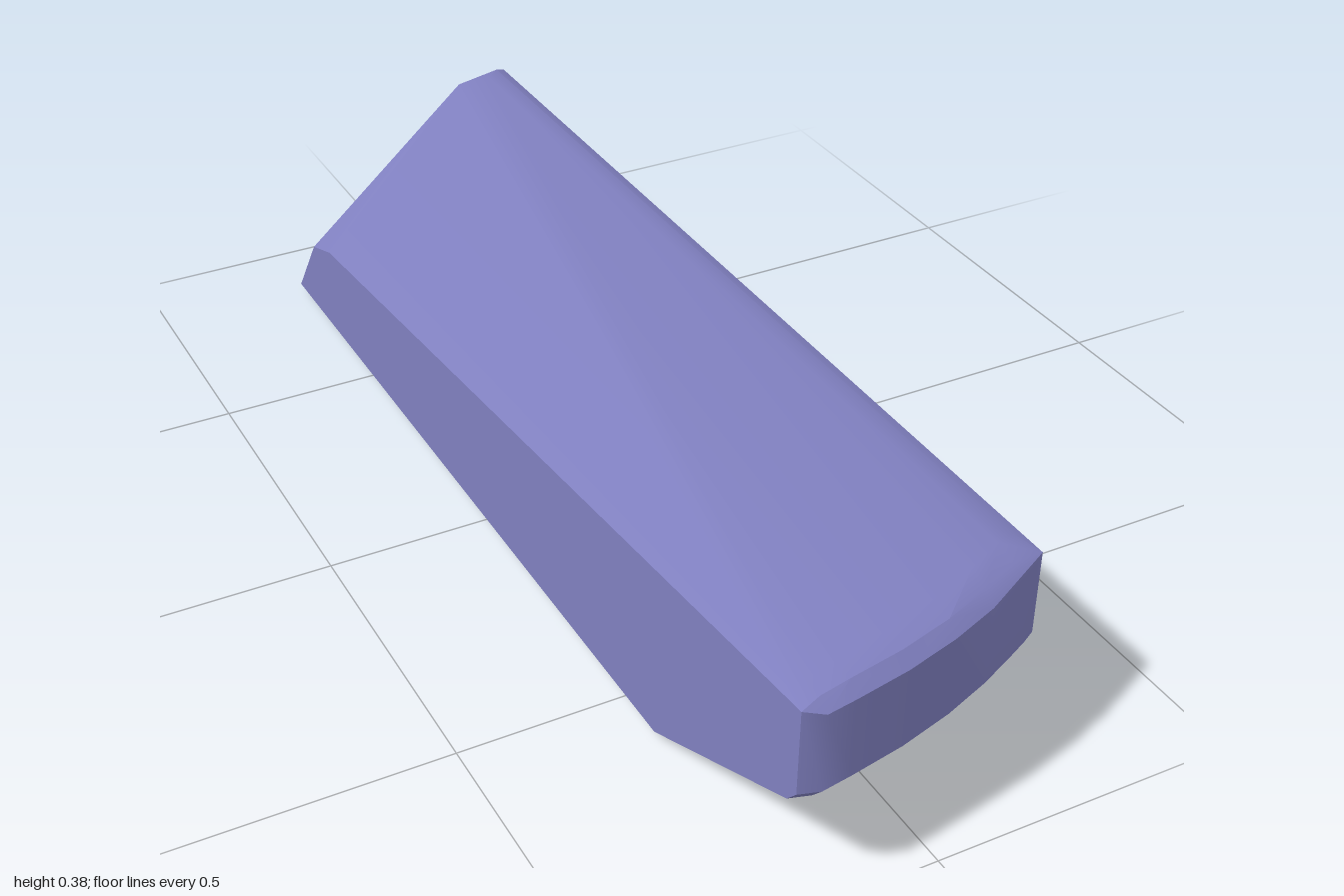
import * as THREE from 'three';
import { ConvexGeometry } from 'three/addons/geometries/ConvexGeometry.js';
import { toCreasedNormals } from 'three/addons/utils/BufferGeometryUtils.js';

const W = 0.233; // half width

export function createModel() {
  const points = [];
  const add = (x, y, z) => points.push(new THREE.Vector3(x, y, z));

  // Curved front end, one section per row: x, front z, crown height, start z and height of the flat bottom
  const sections = [
    [-W, 0.99, 0.355, 0.61, 0.02],
    [-0.2, 1.0, 0.361, 0.605, 0.008],
    [-0.15, 0.992, 0.367, 0.6, 0.001],
    [-0.06, 0.975, 0.371, 0.58, 0],
    [0.03, 0.95, 0.373, 0.545, 0],
    [0.11, 0.92, 0.3745, 0.48, 0],
    [0.175, 0.89, 0.375, 0.39, 0.002],
    [0.21, 0.873, 0.368, 0.34, 0.009],
    [W, 0.86, 0.355, 0.3, 0.02],
  ];
  for (const [x, z, crown, bottomZ, bottomY] of sections) {
    const inner = Math.abs(x) < W;
    add(x, 0.215, z);
    add(x, 0.345, z);
    add(x, 0.19, z - 0.022);
    add(x, bottomY, bottomZ);
    add(x, crown, inner ? z - 0.055 : z);
    if (inner) add(x, Math.min(0.364, crown), z - 0.02);
  }

  // Slanted back end: upper rim, falling towards the right side
  add(W, 0.355, -0.89);
  add(0.21, 0.367, -0.872);
  add(0.175, 0.375, -0.83);
  add(0.12, 0.364, -0.85);
  add(-W, 0.18, -0.66);
  add(-W, 0.15, -0.745);

  // Slanted back end: lower rim
  add(W, 0.09, -1);
  add(0.19, 0.05, -1);
  add(0.13, 0.015, -1);
  add(0.1, 0.012, -1);
  add(-0.2, 0.008, -0.868);
  add(-W, 0.02, -0.84);

  // Flat underside with a bevel that widens towards the back
  add(W, 0.02, 0.05);
  add(0.18, 0.002, 0.05);
  add(0.09, 0.002, -0.9);
  add(-0.17, 0.001, -0.83);

  const body = new THREE.Mesh(
    toCreasedNormals(new ConvexGeometry(points), THREE.MathUtils.degToRad(28)),
    new THREE.MeshStandardMaterial({ color: 0x8080c0 })
  );
  body.name = 'body';

  const model = new THREE.Group();
  model.name = 'bevelledBlock';
  model.add(body);
  return model;
}
